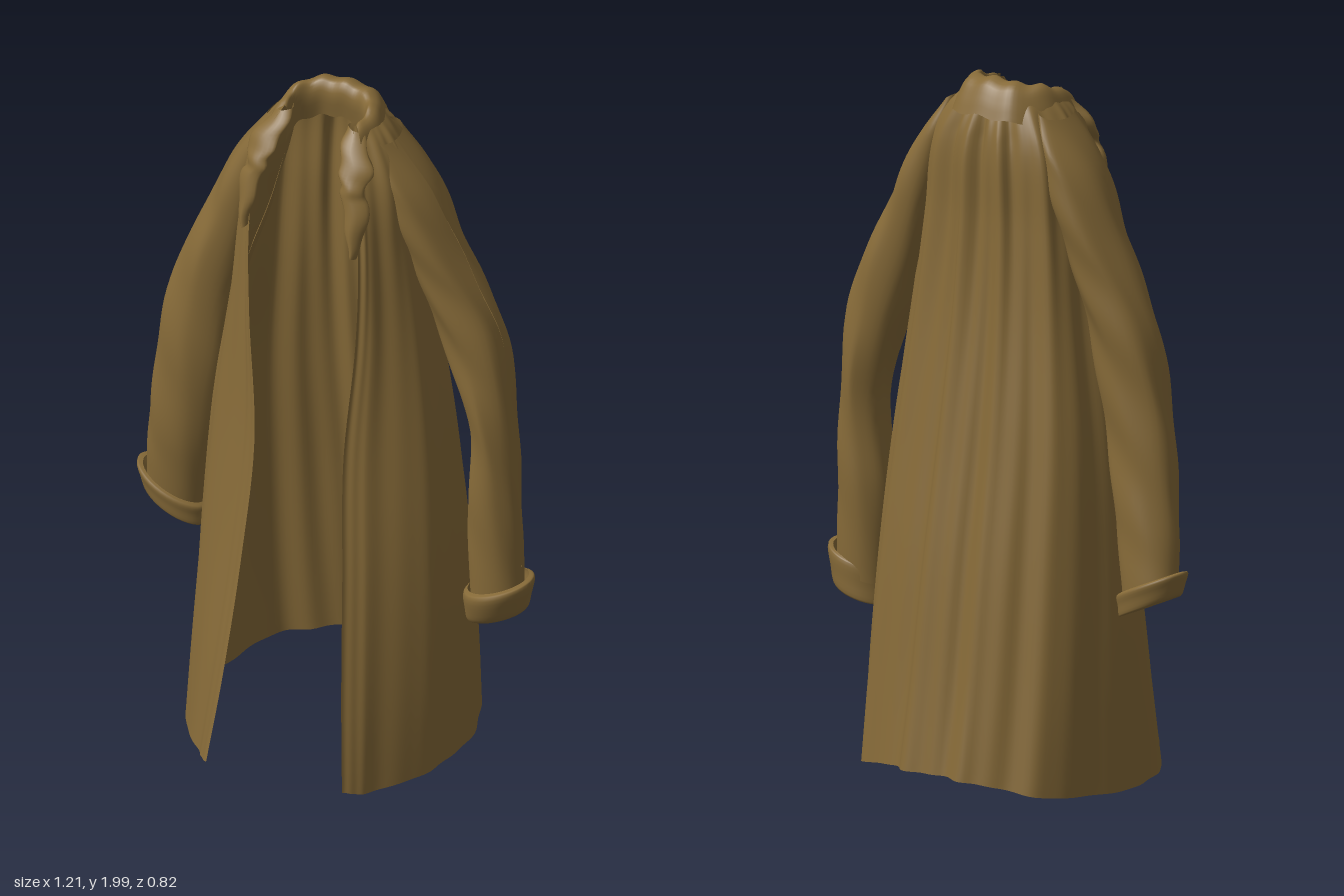
import * as THREE from 'three';

const V = (x, y, z) => new THREE.Vector3(x, y, z);
const cloth = new THREE.MeshStandardMaterial({ color: 0x866a38, side: THREE.DoubleSide });

// Smooth cloth surface through a grid of control points, with an optional displacement rule
function loft(name, rows, nu, nv, closed = false, rule = null) {
  const across = rows.map(r => new THREE.CatmullRomCurve3(r, closed, 'centripetal'));
  const cols = [];
  for (let i = 0; i <= nu; i++) {
    const pts = across.map(c => c.getPoint(i / nu));
    const down = new THREE.CatmullRomCurve3(pts, false, 'centripetal');
    cols.push(Array.from({ length: nv + 1 }, (_, j) => {
      const p = down.getPoint(j / nv);
      if (rule) rule(p, i / nu, j / nv);
      return p;
    }));
  }
  const pos = [], idx = [];
  cols.forEach(c => c.forEach(p => pos.push(p.x, p.y, p.z)));
  for (let i = 0; i < nu; i++) for (let j = 0; j < nv; j++) {
    const a = i * (nv + 1) + j, b = a + nv + 1;
    idx.push(a, a + 1, b, b, a + 1, b + 1);
  }
  const g = new THREE.BufferGeometry();
  g.setAttribute('position', new THREE.Float32BufferAttribute(pos, 3));
  g.setIndex(idx);
  g.computeVertexNormals();
  const m = new THREE.Mesh(g, cloth);
  m.name = name;
  return m;
}

// Body levels: y, right edge x z, right side x, left edge x z, left side x, side z, back z
const LEVELS = [
  [0.01, -0.15, 0.405, -0.385, 0.26, 0.37, 0.405, -0.06, -0.40],
  [0.30, -0.12, 0.36, -0.38, 0.235, 0.33, 0.405, -0.06, -0.365],
  [0.65, -0.10, 0.29, -0.365, 0.21, 0.28, 0.39, -0.05, -0.32],
  [1.00, -0.09, 0.235, -0.34, 0.185, 0.23, 0.36, -0.05, -0.265],
  [1.35, -0.135, 0.185, -0.29, 0.195, 0.18, 0.31, -0.05, -0.215],
  [1.60, -0.155, 0.155, -0.26, 0.19, 0.155, 0.27, -0.05, -0.195],
  [1.80, -0.155, 0.12, -0.23, 0.16, 0.12, 0.24, -0.04, -0.19],
  [1.90, -0.135, 0.08, -0.175, 0.135, 0.08, 0.185, -0.04, -0.165],
  [1.955, -0.11, 0.04, -0.13, 0.11, 0.04, 0.13, -0.05, -0.135],
];

function bodyRow([y, ex, ez, sx, fx, fz, tx, zs, zb], i) {
  const hem = i === 0 ? 1 : 0;
  const front = (x, z, s) => [
    V(x, y + 0.02 * hem, z),
    V(x * 0.72 + s * 0.28, y, z * 0.85 + zs * 0.15),
    V(x * 0.12 + s * 0.88, y, z * 0.45 + zs * 0.55),
    V(s, y, zs),
    V(s * 0.82, y + 0.02 * hem, zs * 0.33 + zb * 0.67),
    V(s * 0.4, y + 0.05 * hem, zb * 0.95),
  ];
  return [...front(ex, ez, sx), V(0, y + 0.055 * hem, zb), ...front(fx, fz, tx).reverse()];
}

// Hanging folds, deepest on the back and toward the hem
function pleats(p, u, v) {
  const back = Math.exp(-Math.pow((u - 0.5) / 0.2, 2));
  const fade = Math.min(1, (1 - v) * 5);
  const k = Math.sin(u * 62 + 0.8 * Math.sin(v * 5)) + 0.5 * Math.sin(u * 131 + v * 3);
  const d = fade * (0.003 + 0.009 * back) * k;
  const l = Math.hypot(p.x, p.z + 0.02) || 1;
  p.x += d * p.x / l;
  p.z += d * (p.z + 0.02) / l;
}

// Ring of points: centre x y z, half widths, and rise per unit x
function ring([x, y, z, rx, rz, tilt = 0]) {
  return Array.from({ length: 12 }, (_, i) => {
    const a = i / 12 * Math.PI * 2, c = Math.cos(a) * rx;
    return V(x + c, y + tilt * c, z + Math.sin(a) * rz);
  });
}

function wrinkles(p, u, v) {
  const s = 0.005 * Math.sin(v * Math.PI);
  p.z += s * Math.sin(v * 34 + u * 19);
  p.x += s * Math.sin(u * 31 + v * 9);
}

const SLEEVES = {
  right: [
    [-0.16, 1.91, -0.04, 0.03, 0.07, 0.6], [-0.215, 1.78, -0.035, 0.075, 0.105, 0.4],
    [-0.285, 1.57, -0.02, 0.09, 0.105, 0.2], [-0.37, 1.32, 0.0, 0.1, 0.09],
    [-0.42, 1.05, 0.01, 0.105, 0.08], [-0.455, 0.8, 0.0, 0.1, 0.075], [-0.485, 0.6, -0.02, 0.085, 0.065, -0.4],
  ],
  left: [
    [0.165, 1.91, -0.05, 0.03, 0.07, -0.6], [0.225, 1.78, -0.06, 0.075, 0.105, -0.4],
    [0.305, 1.57, -0.08, 0.09, 0.1, -0.2], [0.405, 1.32, -0.1, 0.095, 0.085],
    [0.475, 1.03, -0.1, 0.06, 0.08], [0.478, 0.76, -0.1, 0.078, 0.075], [0.487, 0.5, -0.1, 0.078, 0.065, 0.3],
  ],
};

// Turned-back cuffs: inside the mouth, round the lower edge, then up and flaring outward
const CUFFS = {
  right: [
    [-0.485, 0.64, -0.02, 0.075, 0.05, -0.4], [-0.478, 0.56, -0.02, 0.078, 0.058, -0.45],
    [-0.482, 0.55, -0.02, 0.095, 0.068, -0.45], [-0.488, 0.585, -0.02, 0.105, 0.075, -0.45],
    [-0.49, 0.615, -0.02, 0.11, 0.08, -0.45], [-0.488, 0.62, -0.02, 0.095, 0.068, -0.45],
  ],
  left: [
    [0.487, 0.54, -0.1, 0.07, 0.05, 0.3], [0.488, 0.45, -0.095, 0.073, 0.062, 0.32],
    [0.492, 0.445, -0.09, 0.085, 0.078, 0.32], [0.5, 0.49, -0.08, 0.093, 0.092, 0.32],
    [0.505, 0.545, -0.075, 0.098, 0.098, 0.32], [0.5, 0.55, -0.08, 0.085, 0.085, 0.32],
  ],
};

// Collar rows: y, half width, back z, front z
const COLLAR = [
  [1.885, 0.165, -0.182, 0.075], [1.93, 0.15, -0.165, 0.065], [1.97, 0.132, -0.14, 0.05],
  [1.98, 0.112, -0.1, 0.03], [1.95, 0.105, -0.08, 0.03], [1.87, 0.105, -0.09, 0.04],
];

function collarRow([y, w, zb, zf]) {
  const side = s => [
    V(s * w, y - 0.03, zf), V(s * w * 1.03, y - 0.005, zf * 0.5 + zb * 0.5),
    V(s * w * 0.65, y + 0.005, zb * 0.9),
  ];
  return [...side(-1), V(0, y + 0.012, zb), ...side(1).reverse()];
}

// Lapel rows from neck to point: y, inner x z, outer x z
const LAPEL = [
  [1.95, 0.085, 0.03, 0.135, 0.03], [1.9, 0.09, 0.075, 0.175, 0.07], [1.85, 0.105, 0.11, 0.198, 0.09],
  [1.815, 0.115, 0.125, 0.18, 0.115], [1.78, 0.125, 0.135, 0.198, 0.115],
  [1.7, 0.145, 0.15, 0.2, 0.135], [1.62, 0.16, 0.155, 0.178, 0.152],
];

function lapelRow(s) {
  return ([y, xi, zi, xo, zo]) => [
    V(s * (xi + 0.012), y, zi - 0.025), V(s * xi, y, zi),
    V(s * (xi + xo) / 2, y - 0.006, (zi + zo) / 2 + 0.018), V(s * xo, y - 0.012, zo),
    V(s * (xo - 0.012), y - 0.012, zo - 0.02),
  ];
}

export function createModel() {
  const coat = new THREE.Group();
  coat.name = 'openCoat';
  coat.add(loft('coatBody', LEVELS.map(bodyRow), 160, 60, false, pleats));
  coat.add(loft('collar', COLLAR.map(collarRow), 48, 20, false, (p, u) => { p.y += 0.004 * Math.sin(u * 40); }));
  for (const [side, s] of [['right', -1], ['left', 1]]) {
    const part = new THREE.Group();
    part.name = side + 'Arm';
    part.add(loft('sleeve', SLEEVES[side].map(ring), 36, 60, true, wrinkles));
    part.add(loft('cuff', CUFFS[side].map(ring), 36, 20, true));
    coat.add(part);
    coat.add(loft(side + 'Lapel', LAPEL.map(lapelRow(s)), 16, 30, false,
      (p, u, v) => { p.x += 0.004 * Math.sin(v * 26 + s); }));
  }
  return coat;
}
